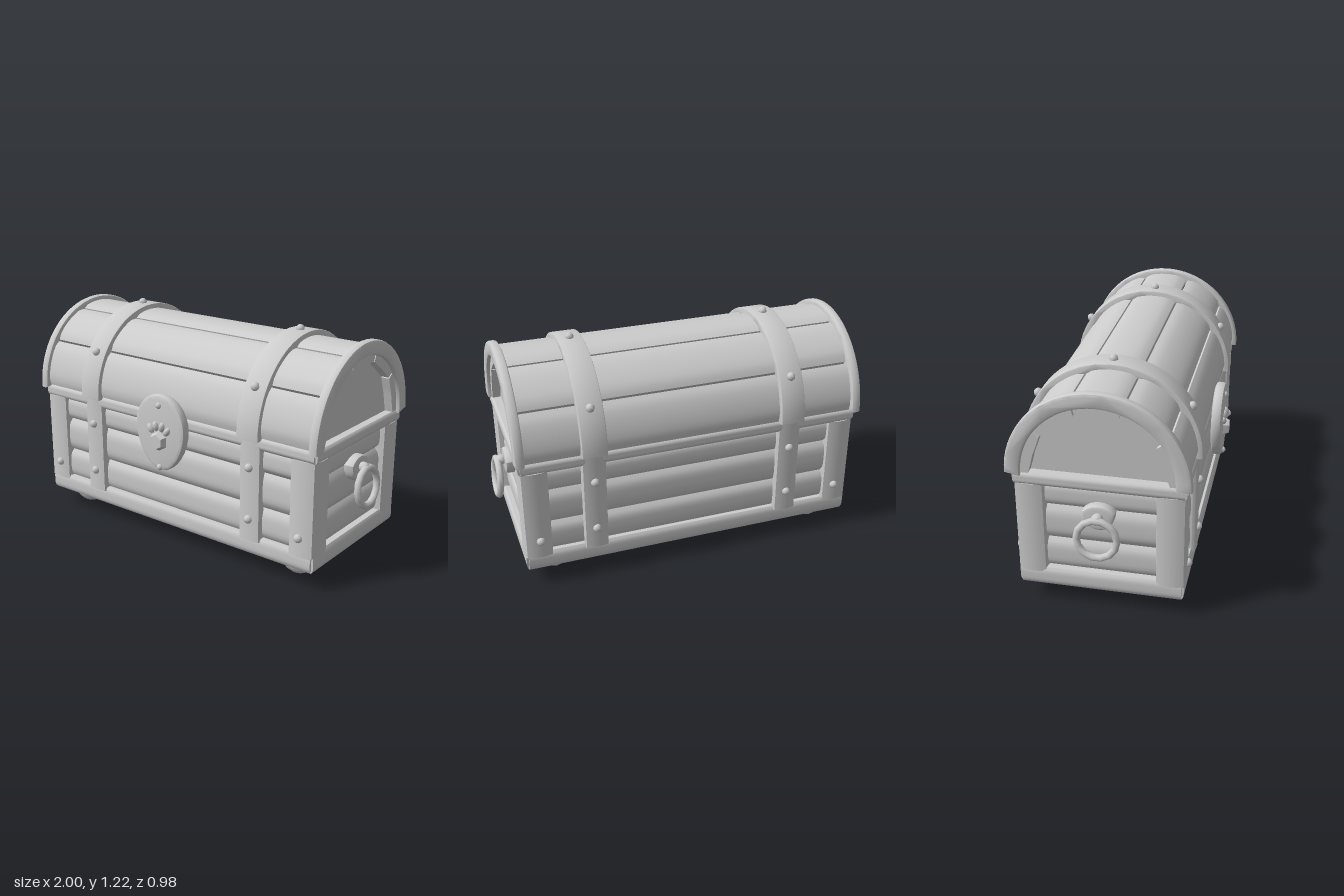
import * as THREE from 'three';
import { toCreasedNormals } from 'three/addons/utils/BufferGeometryUtils.js';

const metal = new THREE.MeshStandardMaterial({ color: 0xcccccc });
metal.name = 'light grey';
const ZC = -0.025; // centre of the chest in depth
const LID_Y = 0.745; // base line of the lid arch

export function createModel() {
  const group = new THREE.Group();
  group.name = 'treasureChest';

  const add = (name, geo, x = 0, y = 0, z = 0) => {
    const mesh = new THREE.Mesh(geo, metal);
    mesh.name = name;
    mesh.position.set(x, y, z);
    group.add(mesh);
    return mesh;
  };

  // Centred extrusion with soft curves and sharp corners
  const extrude = (shape, depth, bevel = 0, curveSegments = 8) => {
    const geo = new THREE.ExtrudeGeometry(shape, {
      depth: depth - 2 * bevel, curveSegments, bevelEnabled: bevel > 0,
      bevelSize: bevel, bevelThickness: bevel, bevelOffset: -bevel, bevelSegments: 2,
    });
    geo.translate(0, 0, -(depth - 2 * bevel) / 2);
    return toCreasedNormals(geo, 0.6);
  };

  // Bar whose two long faces swell outwards; runs along local z
  const swollenBar = (length, height, half, bulge) => {
    const pts = [];
    for (const side of [1, -1]) {
      for (let i = 0; i <= 8; i++) {
        const t = -1 + i / 4;
        pts.push(new THREE.Vector2(side * (half - bulge * t ** 4), (side * t * height) / 2));
      }
    }
    return extrude(new THREE.Shape(pts), length);
  };

  // One course of boards around all four sides
  const course = (name, y0, y1, halfX, halfZ, bulge) => {
    const y = (y0 + y1) / 2;
    add(name + 'FrontBack', swollenBar(2 * (halfX - bulge), y1 - y0, halfZ, bulge).rotateY(Math.PI / 2), 0, y, ZC);
    add(name + 'Sides', swollenBar(2 * (halfZ - bulge), y1 - y0, halfX, bulge), 0, y, ZC);
  };

  // Base, side planks and rim
  course('base', 0.1, 0.2, 0.915, 0.418, 0.012);
  course('lowerPlank', 0.19, 0.362, 0.885, 0.4, 0.025);
  course('middlePlank', 0.362, 0.552, 0.885, 0.4, 0.025);
  course('upperPlank', 0.552, 0.69, 0.885, 0.4, 0.025);
  course('rim', 0.68, LID_Y, 0.922, 0.426, 0.012);

  // Feet
  const footProfile = [[0, 0.004], [0.045, 0.014], [0.075, 0.036], [0.092, 0.07], [0.092, 0.11]]
    .map(([r, y]) => new THREE.Vector2(r, y));
  const foot = new THREE.LatheGeometry(footProfile, 10);

  // Post and strap with gently curved faces
  const roundedColumn = (w, d, h, b) => {
    const s = new THREE.Shape();
    const x = w / 2 - b, y = d / 2 - b;
    s.moveTo(-x, -y);
    s.quadraticCurveTo(0, -y - 2 * b, x, -y);
    s.quadraticCurveTo(x + 2 * b, 0, x, y);
    s.quadraticCurveTo(0, y + 2 * b, -x, y);
    s.quadraticCurveTo(-x - 2 * b, 0, -x, -y);
    return extrude(s, h).rotateX(-Math.PI / 2);
  };
  const post = roundedColumn(0.152, 0.155, 0.505, 0.01);
  const strap = roundedColumn(0.13, 0.06, 0.56, 0.007);
  const rivet = new THREE.SphereGeometry(0.023, 8, 6);

  for (const sx of [-1, 1]) {
    for (const sz of [-1, 1]) {
      add('foot', foot, sx * 0.75, 0, ZC + sz * 0.26);
      add('cornerPost', post, sx * 0.843, 0.432, ZC + sz * 0.348);
      add('bodyStrap', strap, sx * 0.538, 0.46, ZC + sz * 0.4);
      add('postRivet', rivet, sx * 0.835, 0.28, ZC + sz * 0.425);
      for (const y of [0.3, 0.58]) add('strapRivet', rivet, sx * 0.538, y, ZC + sz * 0.43);
    }
  }

  // Lid planks: five curved staves with narrow gaps
  for (let i = 0; i < 5; i++) {
    const a0 = (i * Math.PI) / 5 + (i ? 0.012 : 0);
    const a1 = ((i + 1) * Math.PI) / 5 - (i < 4 ? 0.012 : 0);
    const pts = [];
    for (let k = 0; k <= 8; k++) {
      const t = k / 4 - 1, a = a0 + ((a1 - a0) * k) / 8;
      const r = 0.43 - 0.012 * t ** 6;
      pts.push(new THREE.Vector2(r * Math.cos(a), r * Math.sin(a)));
    }
    for (let k = 4; k >= 0; k--) {
      const t = k / 2 - 1, a = a0 + ((a1 - a0) * k) / 4;
      const r = 0.33 + 0.012 * t ** 4;
      pts.push(new THREE.Vector2(r * Math.cos(a), r * Math.sin(a)));
    }
    add('lidPlank', extrude(new THREE.Shape(pts), 1.83).rotateY(Math.PI / 2), 0, LID_Y, ZC);
  }

  // Arched strip with short straight feet
  const arch = (outer, inner, width, bevel) => {
    const s = new THREE.Shape();
    s.moveTo(outer, -0.015);
    s.absarc(0, 0, outer, 0, Math.PI, false);
    s.lineTo(-outer, -0.015);
    s.lineTo(-inner, -0.015);
    s.absarc(0, 0, inner, Math.PI, 0, true);
    s.lineTo(inner, -0.015);
    return extrude(s, width, bevel, 18).rotateY(Math.PI / 2);
  };
  const endArch = arch(0.454, 0.376, 0.05, 0.014);
  const lidStrap = arch(0.457, 0.41, 0.132, 0.006);

  // Recessed end panel of the lid
  const half = new THREE.Shape();
  half.absarc(0, 0, 0.345, 0, Math.PI, false);
  const panel = extrude(half, 0.04, 0, 16).rotateY(Math.PI / 2);

  for (const sx of [-1, 1]) {
    add('lidEndArch', endArch, sx * 0.912, LID_Y, ZC - 0.004);
    add('lidEndPanel', panel, sx * 0.85, LID_Y, ZC);
    add('lidStrap', lidStrap, sx * 0.538, LID_Y, ZC - 0.004);
    for (const a of [0.56, Math.PI / 2, Math.PI - 0.56]) {
      add('lidRivet', rivet, sx * 0.538, LID_Y + 0.46 * Math.sin(a), ZC - 0.004 + 0.46 * Math.cos(a));
    }

    // Handle: half-round mount and a hanging ring
    const mount = new THREE.Shape();
    mount.moveTo(-0.08, 0.03);
    mount.quadraticCurveTo(-0.075, -0.065, 0, -0.067);
    mount.quadraticCurveTo(0.075, -0.065, 0.08, 0.03);
    mount.quadraticCurveTo(0.05, 0.067, 0, 0.067);
    mount.quadraticCurveTo(-0.05, 0.067, -0.08, 0.03);
    add('handleMount', extrude(mount, 0.06, 0.012).rotateY(Math.PI / 2), sx * 0.9, 0.538, ZC);
    const knob = add('handleKnob', new THREE.SphereGeometry(0.03, 8, 6), sx * 0.945, 0.548, ZC);
    knob.scale.set(1.1, 0.9, 1);
    const ring = add('handleRing', new THREE.TorusGeometry(0.1, 0.0185, 8, 14).rotateY(Math.PI / 2), sx * 0.972, 0.448, ZC);
    ring.rotation.z = sx * 0.08;
  }

  // Egg-shaped lock plate
  const egg = new THREE.Shape();
  egg.moveTo(0, -0.21);
  egg.bezierCurveTo(0.09, -0.21, 0.165, -0.08, 0.165, 0.03);
  egg.bezierCurveTo(0.165, 0.13, 0.09, 0.208, 0, 0.208);
  egg.bezierCurveTo(-0.09, 0.208, -0.165, 0.13, -0.165, 0.03);
  egg.bezierCurveTo(-0.165, -0.08, -0.09, -0.21, 0, -0.21);
  add('lockPlate', extrude(egg, 0.055, 0.016, 8), 0, 0.658, 0.435);
  for (const y of [0.81, 0.468]) add('lockRivet', new THREE.SphereGeometry(0.018, 8, 6), 0, y, 0.46);

  // Raised pads on the lock plate
  const pad = new THREE.CylinderGeometry(0.04, 0.06, 0.04, 6).rotateX(Math.PI / 2);
  add('lockPad', toCreasedNormals(pad, 0.3), 0, 0.617, 0.472);
  for (const [x, y, tilt] of [[0.055, 0.676, -0.6], [0.021, 0.695, -0.2]]) {
    for (const s of [-1, 1]) {
      const bead = add('lockBead', new THREE.SphereGeometry(0.02, 8, 6), s * x, y, 0.462);
      bead.scale.set(0.9, 1.4, 1);
      bead.rotation.z = s * tilt;
    }
  }
  return group;
}
